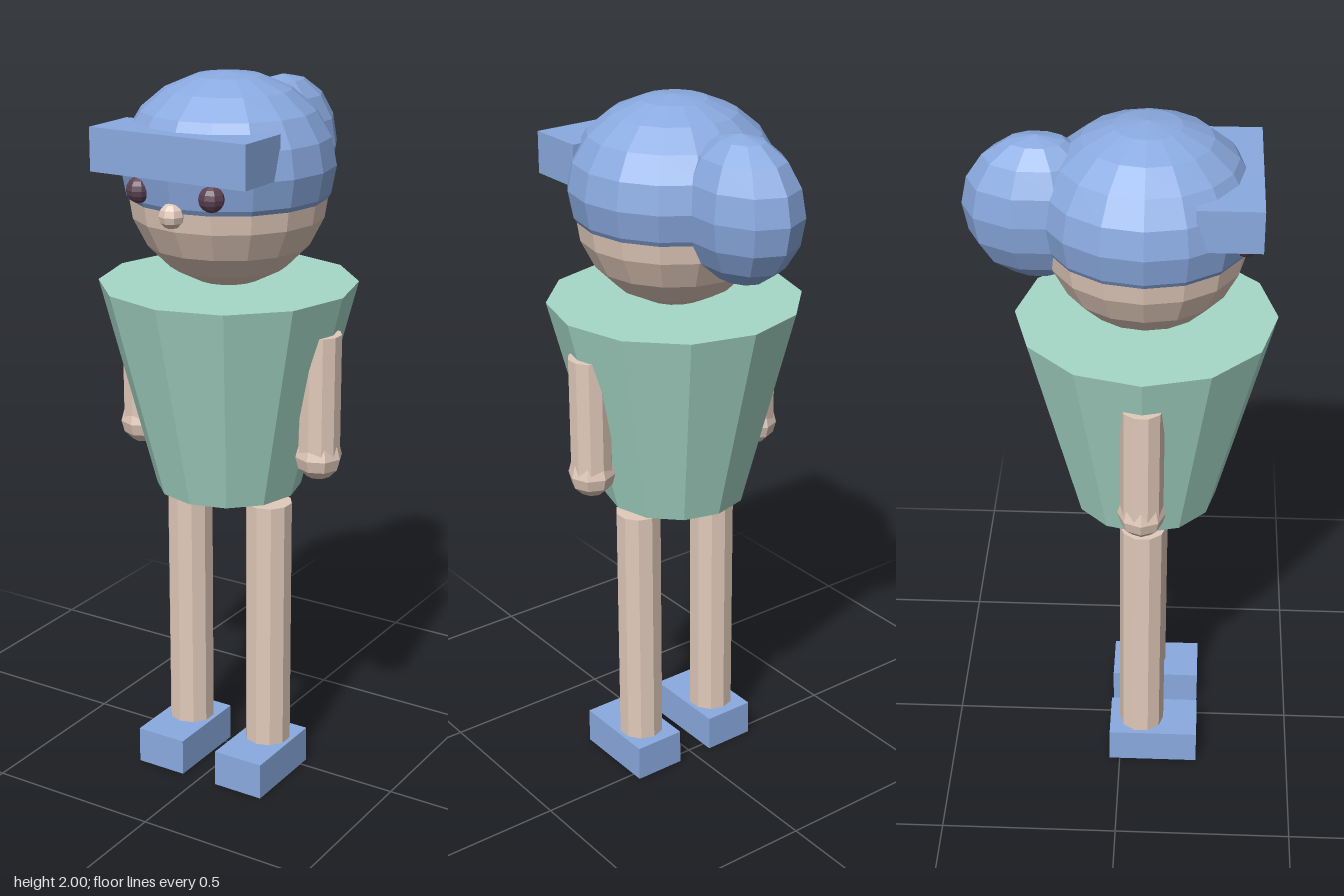
import * as THREE from 'three';

export function createModel() {
  const root = new THREE.Group();
  root.name = 'figure';

  const mat = (name, color) => {
    const m = new THREE.MeshStandardMaterial({ color, flatShading: true });
    m.name = name;
    return m;
  };
  const blue = mat('blue', 0x8aaae0);
  const green = mat('green', 0xa6d8c7);
  const skin = mat('skin', 0xe2cabb);
  const dark = mat('dark plum', 0x5c4152);

  const Z = 0.063; // body axis
  const add = (name, geometry, material, x, y, z = Z) => {
    const mesh = new THREE.Mesh(geometry, material);
    mesh.name = name;
    mesh.position.set(x, y, z);
    root.add(mesh);
    return mesh;
  };
  const ball = (r, ws, hs) => new THREE.SphereGeometry(r, ws, hs);
  const rod = (rTop, rBottom, y0, y1, sides) => new THREE.CylinderGeometry(rTop, rBottom, y1 - y0, sides);

  // Flared tunic
  add('torso', rod(0.35, 0.2, 0.86, 1.44, 12), green, 0, 1.15);

  // Head with hair cap, bun and visor
  add('head', ball(0.27, 16, 10), skin, 0, 1.705);
  add('hair', ball(0.287, 16, 10).scale(1, 0.24 / 0.287, 1), blue, 0, 1.76);
  add('hairBun', ball(0.196, 10, 8).rotateY(Math.PI / 2).scale(0.14 / 0.196, 1, 1), blue, 0, 1.76, -0.217);
  add('visor', new THREE.BoxGeometry(0.468, 0.115, 0.167), blue, 0, 1.8175, 0.2725);
  add('nose', ball(0.034, 8, 6), skin, 0, 1.667, 0.332);

  // Mirrored parts
  for (const [side, s] of [['left', 1], ['right', -1]]) {
    add(side + 'Eye', ball(0.035, 8, 8), dark, s * 0.11, 1.72, 0.315);
    add(side + 'Arm', rod(0.058, 0.058, 0.99, 1.335, 10), skin, s * 0.285, 1.1625);
    add(side + 'Hand', ball(0.065, 8, 6), skin, s * 0.285, 0.994);
    add(side + 'Leg', rod(0.065, 0.065, 0.09, 0.83, 10), skin, s * 0.13, 0.46);
    add(side + 'Foot', new THREE.BoxGeometry(0.15, 0.105, 0.258), blue, s * 0.13, 0.0525, 0.099);
  }
  return root;
}
